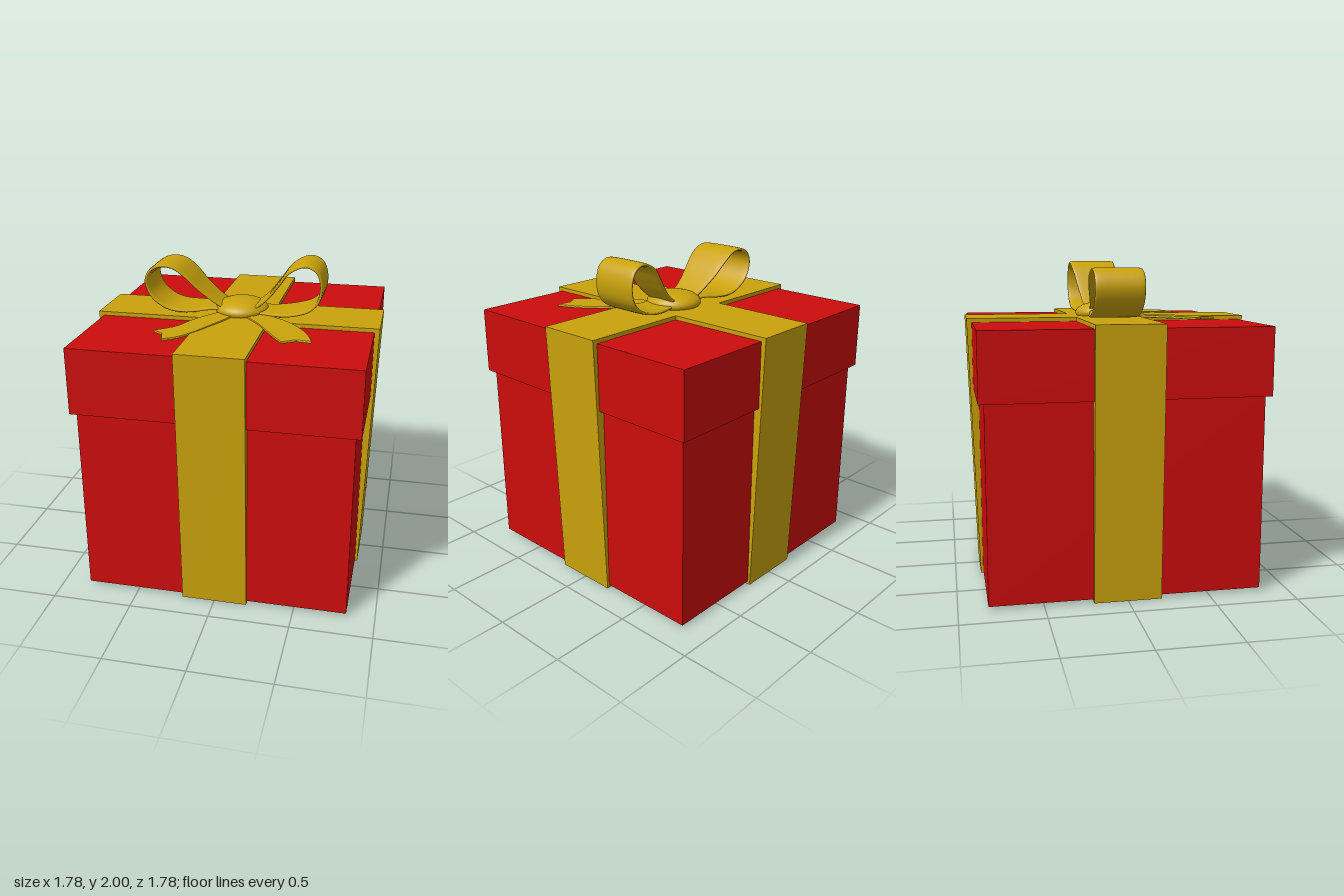
import * as THREE from 'three';

const red = new THREE.MeshStandardMaterial({ color: 0xcc0c0c });
const gold = new THREE.MeshStandardMaterial({ color: 0xc9a20c });

function add(parent, name, geometry, material) {
  const mesh = new THREE.Mesh(geometry, material);
  mesh.name = name;
  parent.add(mesh);
  return mesh;
}

// Tapered band running round the box, flush against box and lid on its inside
function bandGeometry() {
  const shape = new THREE.Shape(
    [[-0.84, 0], [0.84, 0], [0.89, 1.645], [-0.89, 1.645]].map(p => new THREE.Vector2(...p)));
  shape.holes.push(new THREE.Path(
    [[-0.815, 0.03], [-0.815, 1.61], [0.815, 1.61], [0.815, 0.03]].map(p => new THREE.Vector2(...p))));
  return new THREE.ExtrudeGeometry(shape, { depth: 0.41, bevelEnabled: false }).translate(0, 0, -0.205);
}

// Soft-edged flat ribbon swept along an upright path, narrower towards the knot
function loopGeometry(points) {
  const curve = new THREE.CatmullRomCurve3(points.map(([x, y]) => new THREE.Vector3(x, y, 0)), false, 'centripetal');
  const steps = 80, sides = 20, pos = [], index = [];
  const soft = (v, e) => Math.sign(v) * Math.abs(v) ** e;
  for (let i = 0; i <= steps; i++) {
    const p = curve.getPointAt(i / steps), t = curve.getTangentAt(i / steps);
    const half = 0.105 + 0.048 * THREE.MathUtils.smoothstep(Math.abs(p.x), 0.1, 0.38);
    for (let j = 0; j < sides; j++) {
      const a = (j / sides) * Math.PI * 2;
      const n = 0.011 * soft(Math.cos(a), 0.4), w = half * soft(Math.sin(a), 0.6);
      pos.push(p.x - t.y * n, p.y + t.x * n, w);
      if (i < steps) {
        const k = (j + 1) % sides, b = i * sides;
        index.push(b + j, b + k, b + sides + j, b + k, b + sides + k, b + sides + j);
      }
    }
  }
  const geo = new THREE.BufferGeometry();
  geo.setAttribute('position', new THREE.Float32BufferAttribute(pos, 3));
  geo.setIndex(index);
  geo.computeVertexNormals();
  return geo;
}

// Ribbon end lying on the lid: two curved edges and a notched tip, given as x, z
function tailGeometry(outer, notch, inner) {
  const v = ([x, z]) => new THREE.Vector2(x, -z);
  const edge = pts => new THREE.SplineCurve(pts.map(v)).getPoints(14);
  const shape = new THREE.Shape([...edge(outer), v(notch), ...edge(inner)]);
  const geo = new THREE.ExtrudeGeometry(shape, {
    depth: 0.006, bevelThickness: 0.005, bevelSize: 0.006, bevelOffset: -0.006, bevelSegments: 2,
  });
  geo.rotateX(-Math.PI / 2);
  // slope gently down from the knot
  const p = geo.attributes.position;
  for (let i = 0; i < p.count; i++) p.setY(i, p.getY(i) + 1.648 - 0.018 * p.getZ(i));
  geo.computeVertexNormals();
  return geo;
}

export function createModel() {
  const model = new THREE.Group();
  model.name = 'giftBox';

  // Box and overhanging lid
  add(model, 'box', new THREE.BoxGeometry(1.65, 1.2, 1.65).translate(0, 0.62, 0), red);
  add(model, 'lid', new THREE.BoxGeometry(1.716, 0.41, 1.716).translate(0, 1.415, 0), red);

  // Crossing bands
  const band = bandGeometry();
  add(model, 'bandAcross', band, gold);
  add(model, 'bandFrontToBack', band, gold).rotation.y = Math.PI / 2;

  // Bow
  const bow = new THREE.Group();
  bow.name = 'bow';
  model.add(bow);

  const knot = new THREE.SphereGeometry(1, 40, 24).scale(0.17, 0.07, 0.177).translate(0, 1.665, 0);
  add(bow, 'knot', knot, gold);

  add(bow, 'rightLoop', loopGeometry([
    [-0.04, 1.67], [-0.12, 1.7], [-0.24, 1.79], [-0.33, 1.88], [-0.4, 1.93], [-0.48, 1.944], [-0.555, 1.915],
    [-0.588, 1.85], [-0.565, 1.765], [-0.5, 1.7], [-0.42, 1.667], [-0.3, 1.662], [-0.18, 1.675], [-0.04, 1.67],
  ]), gold);
  add(bow, 'leftLoop', loopGeometry([
    [0.04, 1.67], [0.11, 1.7], [0.18, 1.76], [0.25, 1.85], [0.32, 1.94], [0.42, 1.985], [0.49, 1.955],
    [0.521, 1.87], [0.505, 1.77], [0.45, 1.71], [0.35, 1.675], [0.22, 1.66], [0.12, 1.664], [0.04, 1.67],
  ]), gold);

  add(bow, 'rightTail', tailGeometry(
    [[-0.08, 0.05], [-0.17, 0.15], [-0.25, 0.27], [-0.31, 0.4], [-0.36, 0.455], [-0.43, 0.51]],
    [-0.365, 0.56],
    [[-0.34, 0.655], [-0.26, 0.6], [-0.19, 0.5], [-0.12, 0.36], [-0.05, 0.21], [0, 0.05]]), gold);
  add(bow, 'leftTail', tailGeometry(
    [[0.1, 0.05], [0.22, 0.12], [0.33, 0.2], [0.43, 0.32], [0.49, 0.43], [0.52, 0.525]],
    [0.43, 0.515],
    [[0.35, 0.565], [0.29, 0.48], [0.22, 0.37], [0.14, 0.25], [0.07, 0.16], [0.01, 0.05]]), gold);

  return model;
}
